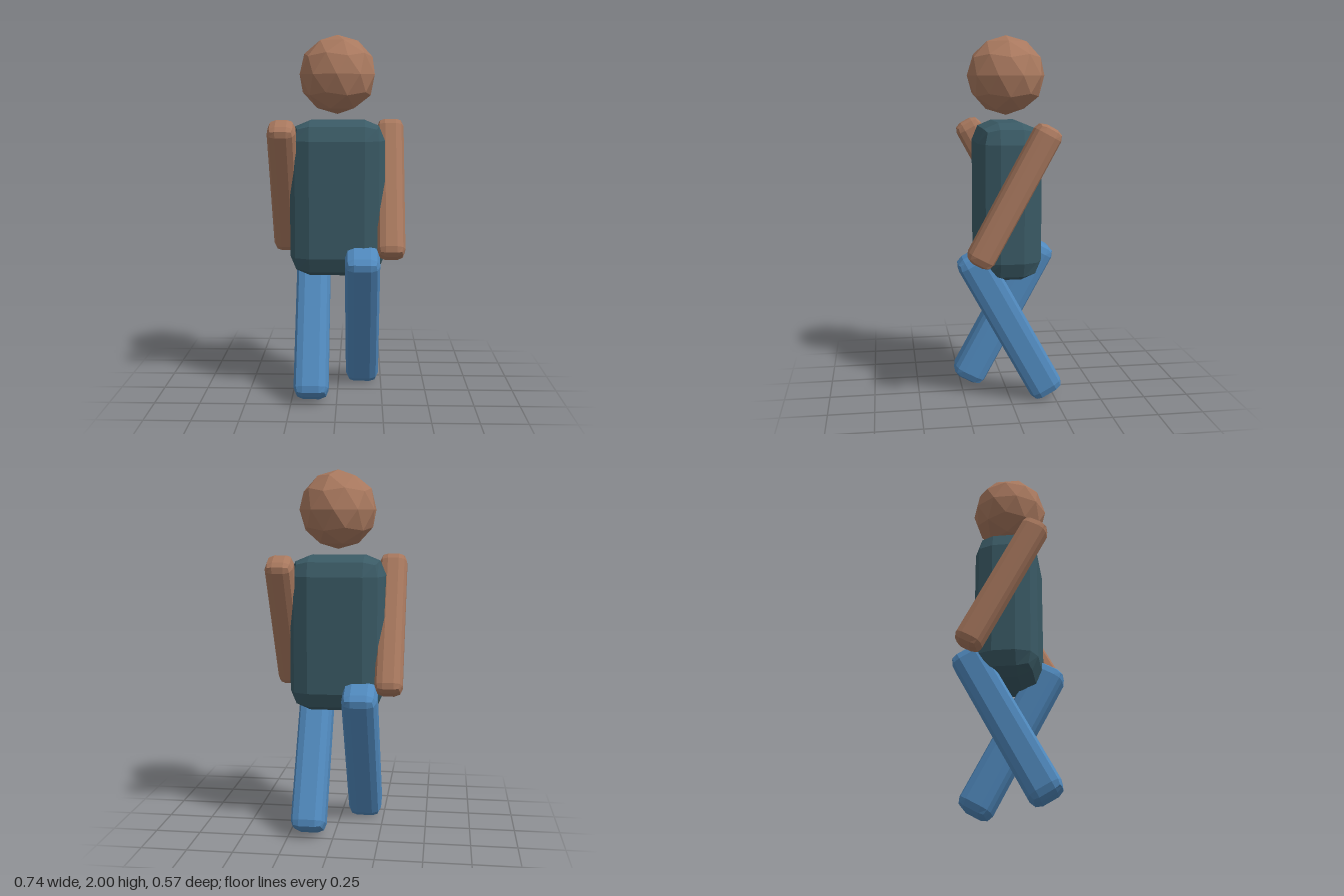
import * as THREE from 'three';
import { RoundedBoxGeometry } from 'three/addons/geometries/RoundedBoxGeometry.js';

const SWING = 0.5; // stride angle of arms and legs

// Box with a two-step bevel and faceted shading
function bevelBox(w, h, d, r) {
  const g = new RoundedBoxGeometry(w, h, d, 1, r);
  g.computeVertexNormals();
  return g;
}

export function createModel() {
  const skin = new THREE.MeshStandardMaterial({ color: 0xa8785e });
  const shirt = new THREE.MeshStandardMaterial({ color: 0x3a5a65 });
  const trousers = new THREE.MeshStandardMaterial({ color: 0x5089bd });
  skin.name = 'skin';
  shirt.name = 'shirt';
  trousers.name = 'trousers';

  const model = new THREE.Group();
  model.name = 'walkingFigure';
  function add(name, geometry, material, x, y, swing = 0) {
    const mesh = new THREE.Mesh(geometry, material);
    mesh.name = name;
    mesh.position.set(x, y, 0);
    mesh.rotation.x = swing;
    model.add(mesh);
  }

  // Head: faceted icosphere turned so that a corner points straight up
  const head = new THREE.IcosahedronGeometry(0.213, 1);
  head.rotateZ(-Math.atan(2 / (1 + Math.sqrt(5))));
  head.computeVertexNormals();
  add('head', head, skin, 0, 1.787);

  // Torso
  add('torso', bevelBox(0.52, 0.857, 0.346, 0.11), shirt, 0, 1.112);

  // Arms and legs swing in opposite directions on each side
  const arm = bevelBox(0.15, 0.82, 0.15, 0.045);
  const leg = bevelBox(0.19, 0.92, 0.19, 0.05);
  for (const [side, s] of [['left', 1], ['right', -1]]) {
    add(side + 'Arm', arm, skin, s * 0.295, 1.166, -s * SWING);
    add(side + 'Leg', leg, trousers, s * 0.14, 0.431, s * SWING);
  }
  return model;
}
